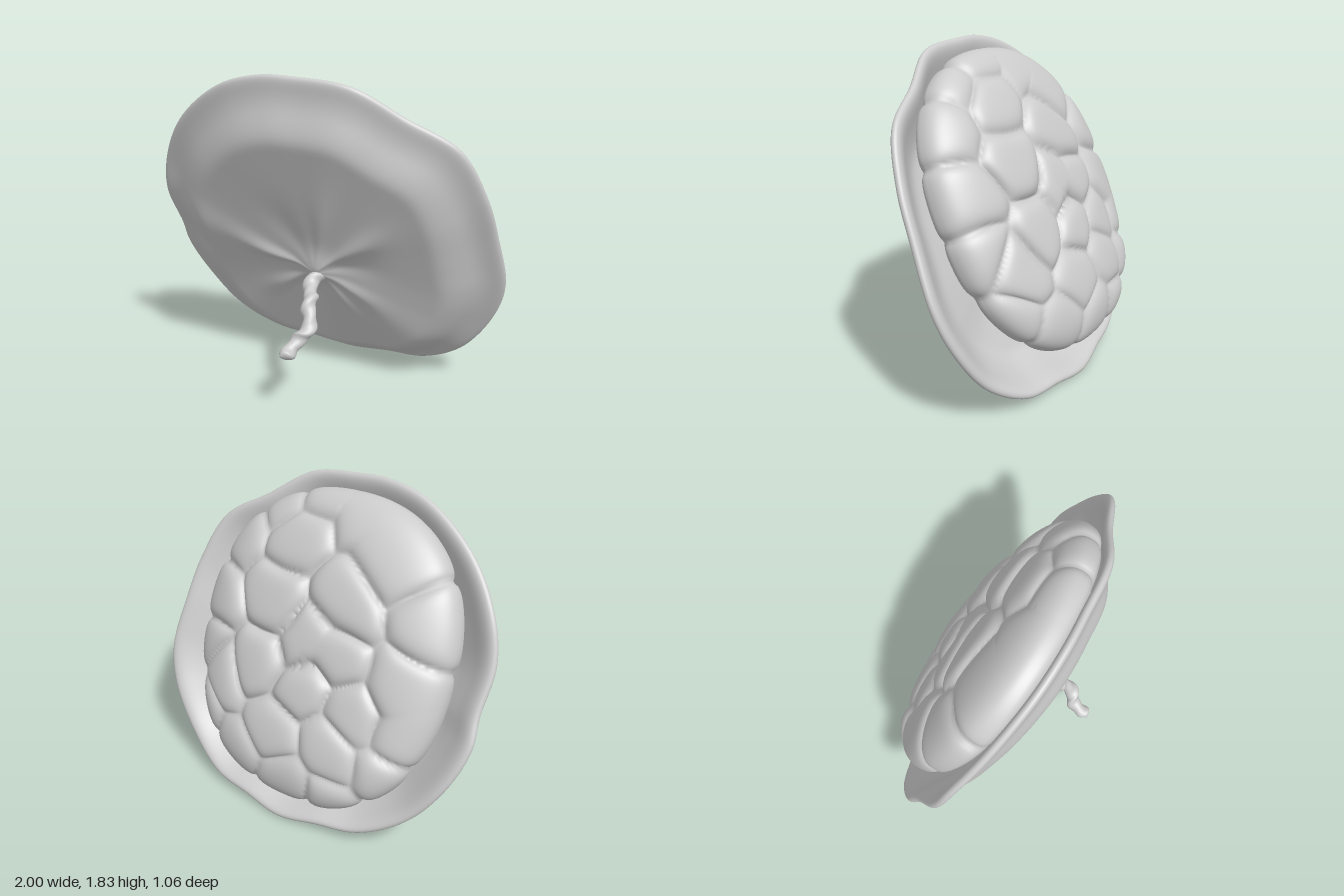
import * as THREE from 'three';
import { mergeVertices } from 'three/addons/utils/BufferGeometryUtils.js';

const TAU = Math.PI * 2;
const V = (x, y, z) => new THREE.Vector3(x, y, z);
const smooth = THREE.MathUtils.smoothstep;

// The whole disc leans back: axes of its tilted plane
const ORIGIN = V(0, 0.93, -0.035);
const UP = V(0, 0.91, 0.415);
const FRONT = V(0, -0.415, 0.91);
const planeZ = (y) => 0.38 - (1.84 - y) * 0.456;

// Smooth closed surface from a rule fn(row 0..1, column 0..1); columns wrap round
function loft(name, rows, cols, fn) {
  const pos = [], index = [];
  for (let i = 0; i <= rows; i++)
    for (let j = 0; j < cols; j++) pos.push(...fn(i / rows, j / cols).toArray());
  for (let i = 0; i < rows; i++)
    for (let j = 0; j < cols; j++) {
      const k = (j + 1) % cols;
      const a = i * cols + j, b = a + cols, c = i * cols + k, d = c + cols;
      index.push(a, b, c, c, b, d);
    }
  let geo = new THREE.BufferGeometry();
  geo.setAttribute('position', new THREE.Float32BufferAttribute(pos, 3));
  geo.setIndex(index);
  geo = mergeVertices(geo, 1e-5);
  geo.computeVertexNormals();
  const mesh = new THREE.Mesh(geo, new THREE.MeshStandardMaterial({ color: 0xcccccc, roughness: 0.7 }));
  mesh.name = name;
  return mesh;
}

// Wavy outline of the membrane, counter-clockwise from its left: x, y, shift in z off the plane
const RIM = [
  [1, 0.7, -0.04], [0.97, 1, -0.05], [0.92, 1.25, -0.05], [0.8, 1.5, -0.05], [0.55, 1.65, -0.03],
  [0.3, 1.8, 0], [0, 1.835, 0], [-0.2, 1.835, 0], [-0.45, 1.77, 0], [-0.75, 1.57, 0],
  [-0.93, 1.33, 0.01], [-1, 1.1, 0.04], [-0.99, 0.86, 0.03], [-1, 0.7, 0.02], [-0.92, 0.47, 0.02],
  [-0.75, 0.24, 0.04], [-0.5, 0.09, 0.03], [-0.25, 0.05, 0.01], [0, 0.01, 0], [0.25, 0.04, 0.01],
  [0.5, 0.07, 0.03], [0.75, 0.22, 0.04], [0.93, 0.47, -0.01],
];
// Folds fanning out from the cord root: angle in degrees, width, height, reach
const FOLDS = [
  [32, 0.16, 0.026, 0.28], [75, 0.16, 0.01, 0.32], [120, 0.3, -0.01, 0.25], [168, 0.13, 0.02, 0.28],
  [-148, 0.14, 0.014, 0.26], [-35, 0.15, 0.012, 0.24], [-62, 0.12, 0.008, 0.26], [5, 0.2, -0.01, 0.22],
];

// Thin bowl-shaped membrane with a thickened, flaring lip
function makeMembrane() {
  const rim = new THREE.CatmullRomCurve3(RIM.map(([x, y, dz]) => V(x, y, planeZ(y) + dz)), true);
  const root = V(0, 0.83, planeZ(0.83));
  return loft('membrane', 90, 170, (s, c) => {
    const t = Math.sin(s * Math.PI);
    const edge = rim.getPoint(c);
    const angle = Math.atan2(edge.y - root.y, edge.x - root.x);
    const shoulder = 0.66 + 0.06 * Math.abs(Math.sin(angle));
    let n = (0.19 - 0.04 * t) * (1 - smooth(t, shoulder, 1)) + 0.04 * Math.exp(-((t / 0.09) ** 2));
    for (const [deg, width, height, reach] of FOLDS) {
      const turn = angle - deg * TAU / 360;
      const d = Math.atan2(Math.sin(turn), Math.cos(turn)) / width;
      const q = t / reach;
      n += height * Math.exp(-d * d) * q * q * Math.exp(1 - q * q) * (1 - smooth(t, 0.3, 0.8));
    }
    const thick = (0.012 + 0.016 * smooth(t, 0.85, 0.98)) * Math.sqrt(Math.max(0, 1 - t ** 50));
    n += s < 0.5 ? thick : -thick;
    return root.clone().lerp(edge, t).addScaledVector(FRONT, n);
  });
}

// Lobes on the back: sideways and upward centre in the plane; entries sharing a third number merge
const LOBES = [
  [0.18, 0.59], [-0.24, 0.29], [0.55, 0.51], [0.22, 0.25], [-0.04, 0.05, 3], [-0.24, 0.0, 3],
  [0.64, 0.13], [0.22, -0.12], [-0.12, -0.2], [0.66, -0.17], [0.45, -0.3], [0.04, -0.46],
  [-0.33, -0.47], [0.6, -0.51], [0.29, -0.66], [-0.05, -0.76], [-0.42, -0.22], [0.4, 0.76],
  [-0.17, 0.8, 1], [0.12, 0.87, 1], [-0.42, 0.58, 1], [-0.7, 0.3],
  [-0.6, 0, 2], [-0.72, -0.25, 2], [-0.62, -0.52], [-0.38, -0.76],
];

// Raised pillow height at a point: rounded inside a lobe, creased where two meet
function pillow(x, y) {
  const u = x + 0.025 * Math.sin(9 * y + 1), v = y + 0.025 * Math.sin(8 * x);
  const dist = LOBES.map(([p, q]) => (u - p) ** 2 + (v - q) ** 2);
  const near = dist.indexOf(Math.min(...dist));
  const [px, py, group] = LOBES[near];
  let height = group ? 0.05 : 0.05 + 0.012 * Math.sin(near * 12.9);
  LOBES.forEach(([qx, qy, other], i) => {
    if (i === near || (group && group === other)) return;
    const edge = (dist[i] - dist[near]) / (2 * Math.hypot(px - qx, py - qy));
    height *= 1 - Math.exp(-edge / 0.028);
  });
  return height;
}

// Lobed cushion filling the back of the bowl
function makeLobes() {
  return loft('lobedCushion', 150, 300, (s, c) => {
    const phi = s * Math.PI, angle = -c * TAU;
    const cx = Math.cos(angle), cy = Math.sin(angle);
    const round = (Math.abs(cx) ** 2.3 + Math.abs(cy) ** 2.3) ** (-1 / 2.3);
    const r = Math.sin(phi) ** 0.75;
    const x = 0.755 * r * round * cx - 0.05, y = 0.835 * r * round * cy + 0.03;
    const h = Math.sign(Math.cos(phi)) * Math.abs(Math.cos(phi)) ** 0.8;
    const bump = pillow(x, y) * (1 - smooth(phi, 1.7, 2.6));
    const out = 0.65 * bump * Math.sin(phi), lift = bump * Math.max(0, Math.cos(phi));
    const heel = 0.03 * smooth(-y, 0.2, 0.7);
    const back = 0.05 + heel + (h > 0 ? 0.18 : 0.17) * h + lift;
    return ORIGIN.clone()
      .add(V(x + out * cx, 0, 0))
      .addScaledVector(UP, y + out * cy)
      .addScaledVector(FRONT, -back);
  });
}

// Twisted cord hanging from the front, rounded off at its free end
function makeCord() {
  const path = new THREE.CatmullRomCurve3([
    V(-0.01, 0.74, 0.02), V(-0.01, 0.7, 0.09), V(0, 0.65, 0.19), V(0.035, 0.61, 0.28),
    V(0.065, 0.53, 0.345), V(0.045, 0.45, 0.395), V(0.01, 0.41, 0.45), V(-0.02, 0.375, 0.53),
  ]);
  const rows = 100, frames = path.computeFrenetFrames(rows);
  return loft('cord', rows, 22, (s, c) => {
    const i = Math.round(s * rows), a = -c * TAU, coil = s * 24;
    const taper = Math.sqrt(Math.max(0, 1 - smooth(s, 0.92, 1) ** 2));
    const flare = 1 + 0.4 * (1 - smooth(s, 0, 0.25));
    const r = 0.04 * taper * flare * (1 + 0.1 * Math.cos(2 * (a - coil)));
    return path.getPointAt(s)
      .addScaledVector(frames.normals[i], r * Math.cos(a) + 0.009 * Math.cos(coil))
      .addScaledVector(frames.binormals[i], r * Math.sin(a) + 0.009 * Math.sin(coil));
  });
}

export function createModel() {
  const model = new THREE.Group();
  model.name = 'lobedDiscWithCord';
  model.add(makeMembrane(), makeLobes(), makeCord());
  return model;
}
